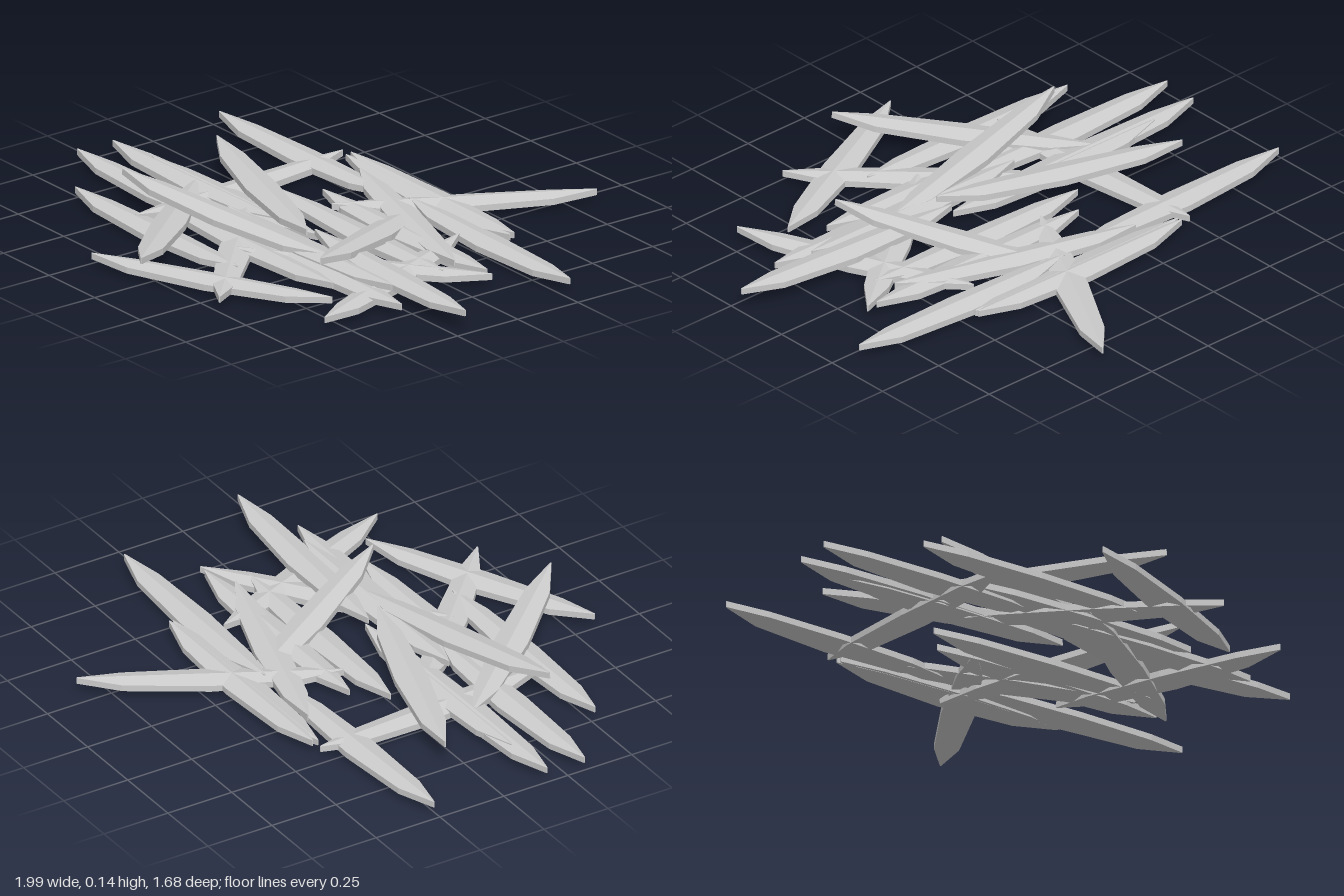
import * as THREE from 'three';

// Leaf stations: [fraction of length, half width]
const STATIONS = [[0, 0.002], [0.17, 0.042], [0.5, 0.057], [0.83, 0.042], [1, 0.002]];
const HALF_THICK = 0.011;
const FOLD = 0.27; // fall of the sides from the central ridge

// Pointed, folded leaf running along +x, roof-shaped with a central ridge
function leafGeometry(length) {
  const rings = STATIONS.map(([t, w]) => {
    const x = t * length, d = -w * FOLD, h = HALF_THICK;
    return [
      [x, d + h, w], [x, h, 0], [x, d + h, -w],
      [x, d - h, -w], [x, -h, 0], [x, d - h, w],
    ];
  });
  const pos = [];
  const tri = (a, b, c) => pos.push(...a, ...b, ...c);
  for (let i = 0; i < rings.length - 1; i++) {
    const p = rings[i], q = rings[i + 1];
    for (let j = 0; j < 6; j++) {
      const k = (j + 1) % 6;
      tri(p[j], q[j], q[k]);
      tri(p[j], q[k], p[k]);
    }
  }
  // End caps, each as two quads either side of the ridge
  const cap = (r, flip) => {
    for (const [a, b, c, d] of [[0, 1, 4, 5], [1, 2, 3, 4]]) {
      if (flip) { tri(r[a], r[c], r[b]); tri(r[a], r[d], r[c]); }
      else { tri(r[a], r[b], r[c]); tri(r[a], r[c], r[d]); }
    }
  };
  cap(rings[0], false);
  cap(rings[rings.length - 1], true);
  const g = new THREE.BufferGeometry();
  g.setAttribute('position', new THREE.Float32BufferAttribute(pos, 3));
  g.computeVertexNormals();
  return g;
}

// Tip to tip: x, y, z, x, y, z
const CROSSWISE = [
  [-0.43, 0.04, -0.39, 0.47, 0.04, -0.385],
  [-0.43, 0.036, -0.37, 0.47, 0.036, -0.37],
  [-0.98, 0.042, -0.26, -0.08, 0.04, -0.275],
  [0.91, 0.04, -0.285, 0.01, 0.04, -0.3],
  [-0.22, 0.04, -0.115, 0.68, 0.04, -0.115],
  [-0.31, 0.036, -0.01, 0.59, 0.036, 0],
  [-0.99, 0.04, 0.175, -0.09, 0.045, 0.165],
  [-0.8, 0.04, 0.155, 0.1, 0.045, 0.15],
  [0.99, 0.07, 0.21, 0.1, 0.065, 0.16],
  [-1, 0.04, 0.315, -0.1, 0.04, 0.31],
  [-0.74, 0.036, 0.52, 0.15, 0.036, 0.52],
  [-0.26, 0.055, 0.25, 0.64, 0.06, 0.25],
  [0.76, 0.04, 0.3, -0.13, 0.04, 0.29],
  [0.47, 0.04, 0.365, -0.43, 0.04, 0.36],
];
const DIAGONAL = [
  [0.325, 0.04, -0.84, -0.1, 0.04, -0.06],
  [-0.29, 0.045, -0.32, 0.56, 0.045, -0.07],
  [0.715, 0.036, -0.11, 0.0, 0.036, 0.43],
  [0.36, 0.036, -0.24, 0.69, 0.036, 0.565],
  [-0.47, 0.036, -0.385, -0.42, 0.036, 0.51],
  [0.335, 0.036, 0.735, -0.32, 0.04, 0.11],
  [0.57, 0.04, 0.445, -0.235, 0.036, 0.835],
];
const TOP = [
  [0.42, 0.115, 0.38, 0, 0.012, -0.4],
  [-0.73, 0.083, -0.06, 0.12, 0.083, 0.21],
  [-0.6, 0.125, 0.43, 0.28, 0.055, 0.25],
  [0.03, 0.1, 0.83, -0.55, 0.04, 0.16],
];

export function createModel() {
  const model = new THREE.Group();
  model.name = 'leafPile';
  const material = new THREE.MeshStandardMaterial({ color: 0xcccccc, flatShading: true });

  const addLayer = (name, list) => {
    const layer = new THREE.Group();
    layer.name = name;
    for (const [ax, ay, az, bx, by, bz] of list) {
      const a = new THREE.Vector3(ax, ay, az);
      const along = new THREE.Vector3(bx, by, bz).sub(a);
      const leaf = new THREE.Mesh(leafGeometry(along.length()), material);
      leaf.name = 'leaf';
      // Lay the leaf along its line with the ridge facing up
      const x = along.normalize();
      const z = new THREE.Vector3().crossVectors(x, new THREE.Vector3(0, 1, 0)).normalize();
      const y = new THREE.Vector3().crossVectors(z, x);
      leaf.quaternion.setFromRotationMatrix(new THREE.Matrix4().makeBasis(x, y, z));
      leaf.position.copy(a);
      layer.add(leaf);
    }
    model.add(layer);
  };
  addLayer('crosswiseLeaves', CROSSWISE);
  addLayer('diagonalLeaves', DIAGONAL);
  addLayer('topLeaves', TOP);
  return model;
}
